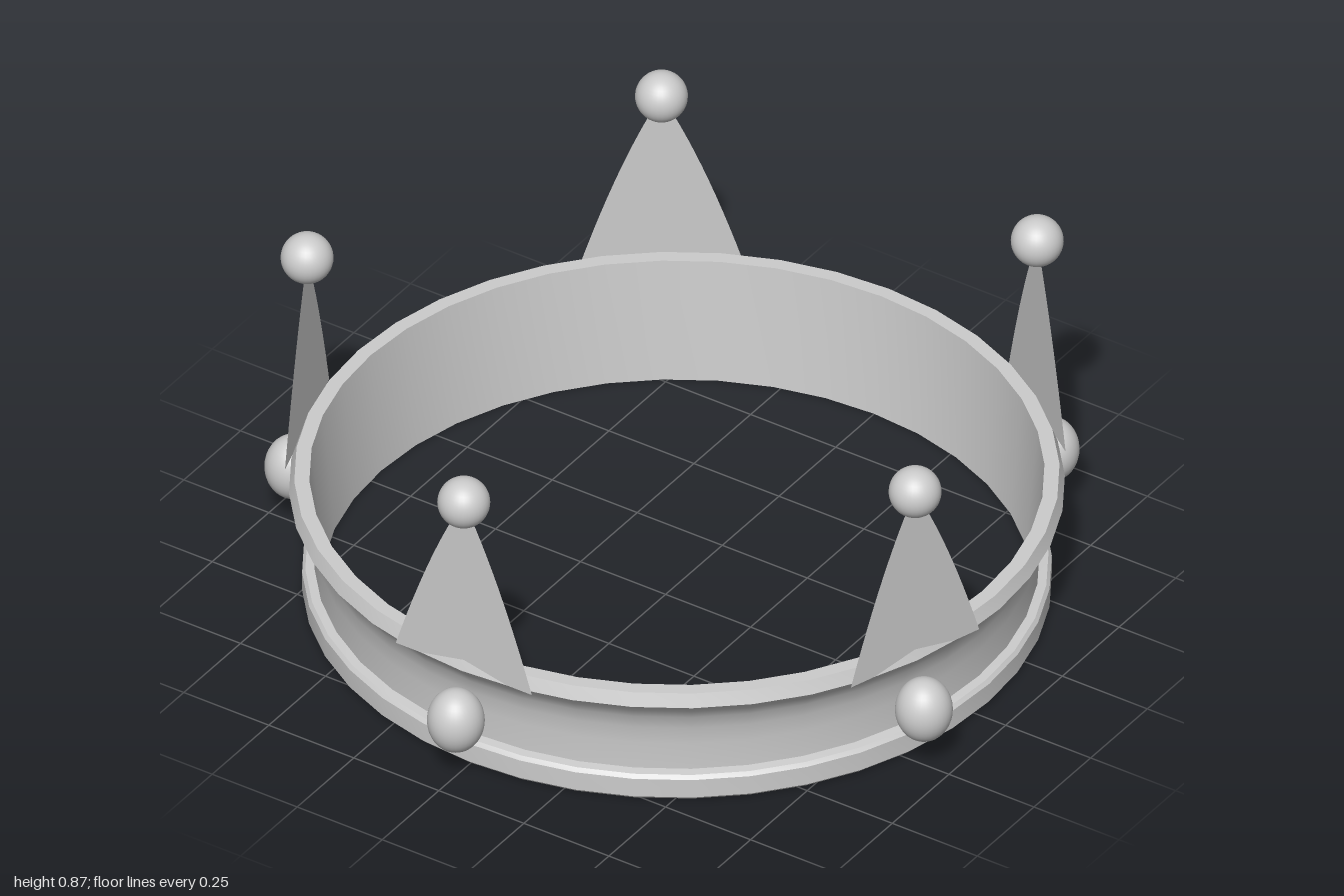
import * as THREE from 'three';
import { toCreasedNormals } from 'three/addons/utils/BufferGeometryUtils.js';

export function createModel() {
  const crown = new THREE.Group();
  crown.name = 'crown';
  crown.position.z = -0.05;

  const metal = new THREE.MeshStandardMaterial({ color: 0xcccccc });
  const sheet = new THREE.MeshStandardMaterial({ color: 0xcccccc, side: THREE.DoubleSide });

  const add = (parent, name, geometry, material, x = 0, y = 0, z = 0) => {
    const mesh = new THREE.Mesh(geometry, material);
    mesh.name = name;
    mesh.position.set(x, y, z);
    parent.add(mesh);
    return mesh;
  };

  // Band: closed profile with a foot lip, a concave wall and a flared rim
  const profile = [
    [0.87, 0], [0.908, 0], [0.918, 0.01], [0.918, 0.062], [0.91, 0.072], [0.888, 0.075],
    [0.888, 0.15], [0.893, 0.2], [0.904, 0.24], [0.922, 0.27], [0.95, 0.3],
    [0.937, 0.335], [0.9, 0.335], [0.87, 0],
  ].map(([r, y]) => new THREE.Vector2(r, y));
  const band = toCreasedNormals(new THREE.LatheGeometry(profile, 40), Math.PI / 6);
  add(crown, 'band', band, metal);

  // Thin flat point with gently bowed sides
  const outline = new THREE.Shape();
  outline.moveTo(-0.2, 0.3);
  outline.lineTo(0.2, 0.3);
  outline.quadraticCurveTo(0.1, 0.62, 0, 0.8);
  outline.quadraticCurveTo(-0.1, 0.62, -0.2, 0.3);
  const pointGeometry = new THREE.ShapeGeometry(outline, 12);

  const ballGeometry = new THREE.SphereGeometry(0.065, 32, 20);
  const jewelGeometry = new THREE.SphereGeometry(0.071, 32, 20).scale(1, 1.2, 1);

  // Five points, each with a ball on its tip and a jewel below
  for (let i = 0; i < 5; i++) {
    const unit = new THREE.Group();
    unit.name = 'crownPoint' + (i + 1);
    unit.rotation.y = (i * Math.PI * 2) / 5;
    add(unit, 'point', pointGeometry, sheet, 0, 0, 0.94);
    add(unit, 'tipBall', ballGeometry, metal, 0, 0.8, 0.94);
    add(unit, 'jewel', jewelGeometry, metal, 0, 0.168, 0.975);
    crown.add(unit);
  }

  const model = new THREE.Group();
  model.name = 'model';
  model.add(crown);
  return model;
}
